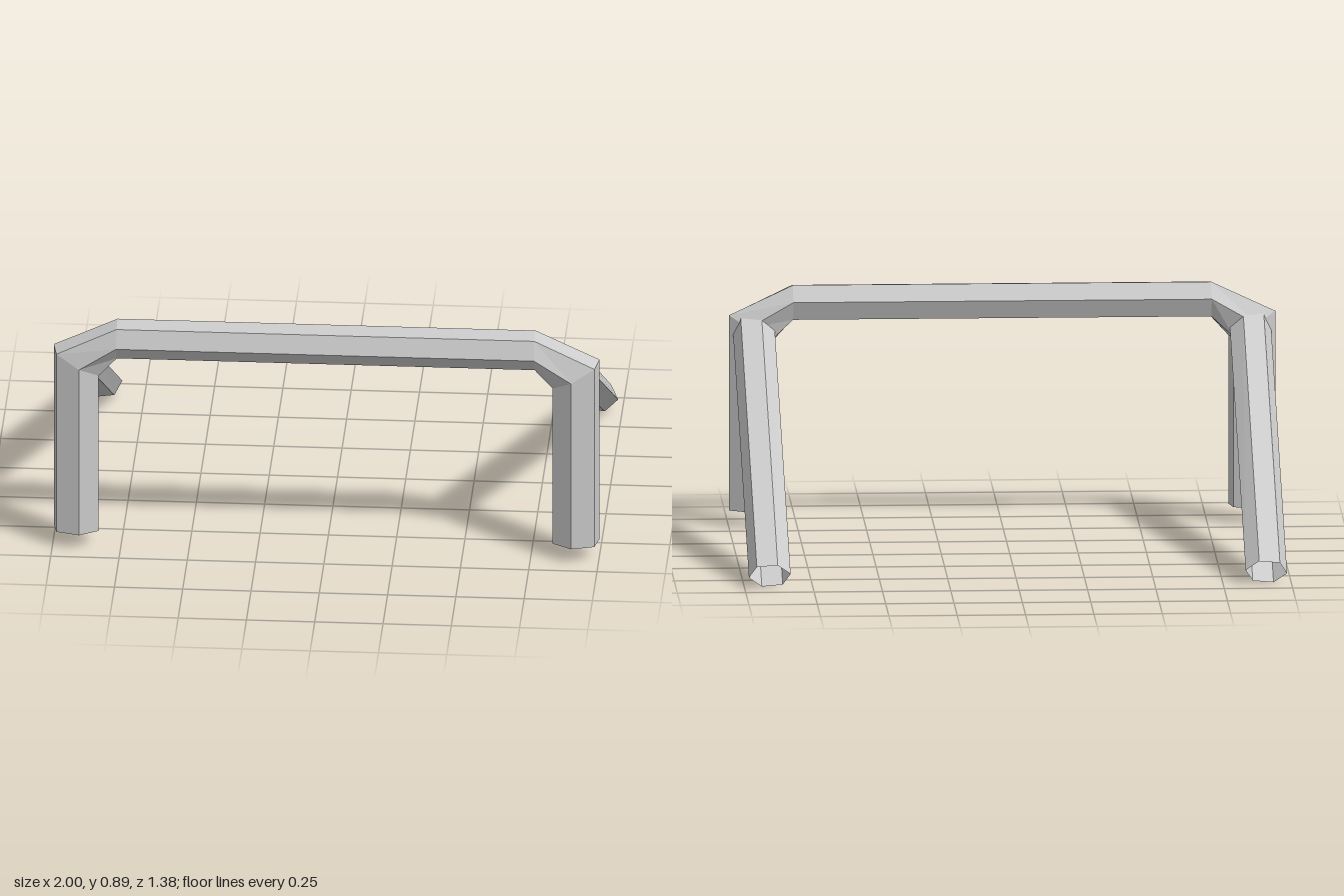
import * as THREE from 'three';

const SIDES = 6;
const TURN = -0.157; // small roll of the six-sided section

// One six-sided ring: centre plus two half-axis vectors.
function ring(centre, u, v) {
  const c = new THREE.Vector3(...centre);
  const U = new THREE.Vector3(...u);
  const V = new THREE.Vector3(...v);
  return Array.from({ length: SIDES }, (_, i) => {
    const a = TURN + (i / SIDES) * Math.PI * 2;
    return c.clone().addScaledVector(U, Math.cos(a)).addScaledVector(V, Math.sin(a));
  });
}

// Open-ended faceted tube through a list of rings.
function loft(rings, name, material) {
  const points = [];
  for (let j = 0; j < rings.length - 1; j++) {
    for (let i = 0; i < SIDES; i++) {
      const k = (i + 1) % SIDES;
      const a = rings[j][i], b = rings[j][k];
      const c = rings[j + 1][i], d = rings[j + 1][k];
      points.push(a, c, b, b, c, d);
    }
  }
  const geometry = new THREE.BufferGeometry().setFromPoints(points);
  geometry.computeVertexNormals();
  const mesh = new THREE.Mesh(geometry, material);
  mesh.name = name;
  return mesh;
}

export function createModel() {
  const group = new THREE.Group();
  group.name = 'barrierFrame';
  const material = new THREE.MeshStandardMaterial({
    color: 0xcccccc, flatShading: true, side: THREE.DoubleSide,
  });

  // Front hoop: foot, mitred corner and shoulder on each side
  const z = 0.622;
  const depth = [0, 0, 0.07];
  const half = (s) => [
    ring([s * 0.915, 0.06, z], depth, [s * 0.09, 0, 0]),
    ring([s * 0.915, 0.735, z], depth, [s * 0.09, 0.053, 0]),
    ring([s * 0.765, 0.826, z], depth, [0, 0.073, 0]),
  ];
  group.add(loft([...half(-1), ...half(1).reverse()], 'frontHoop', material));

  // Sloping braces running back to the ground
  for (const s of [1, -1]) {
    const rings = [
      ring([s * 0.908, 0.725, 0.585], [s * 0.077, 0, 0], [0, 0.07, 0]),
      ring([s * 0.908, 0.045, -0.66], [s * 0.077, 0, 0], [0, 0.048, -0.032]),
    ];
    if (s < 0) rings.reverse();
    group.add(loft(rings, s > 0 ? 'leftBrace' : 'rightBrace', material));
  }
  return group;
}
